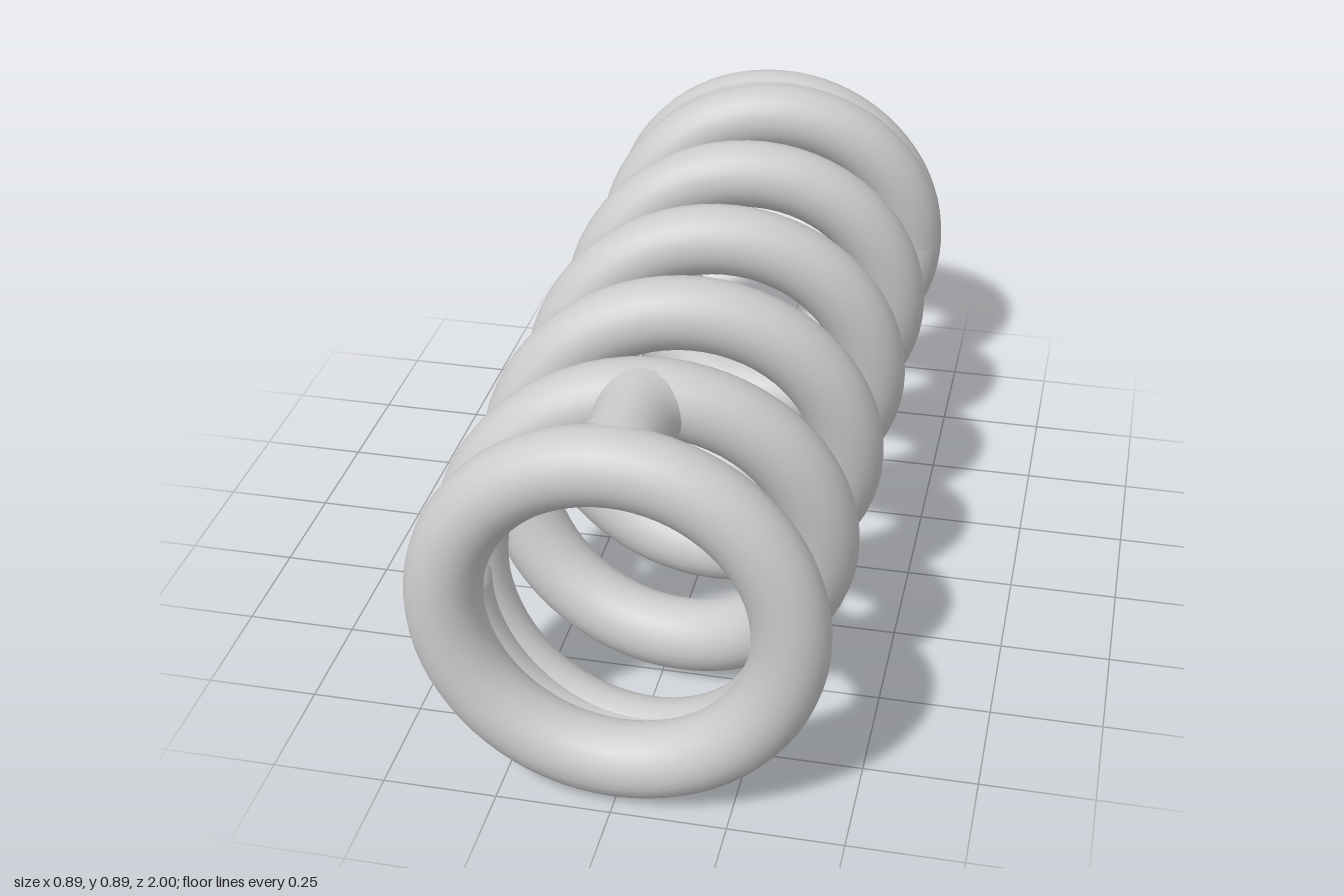
import * as THREE from 'three';

const R = 0.365;          // coil radius
const WIRE = 0.0825;      // wire radius
const END_Z = 0.9175;     // centre of the end rings
const TURNS = 5;
const PITCH = (2 * END_Z) / TURNS;
const coilZ = (t) => (-PITCH * t) / (2 * Math.PI);

// Sweep a round section about the z axis, from angle t0 to t1
function sweep(t0, t1, steps, sides, zAt, radiusAt) {
  const pos = [], index = [];
  for (let i = 0; i <= steps; i++) {
    const t = t0 + ((t1 - t0) * i) / steps;
    const r = radiusAt(t);
    for (let j = 0; j < sides; j++) {
      const b = (2 * Math.PI * j) / sides;
      const d = R + r * Math.cos(b);
      pos.push(-d * Math.cos(t), d * Math.sin(t), zAt(t) + r * Math.sin(b));
      if (i === steps) continue;
      const k = (j + 1) % sides;
      const p = i * sides + j, q = i * sides + k;
      index.push(p, q, p + sides, q, q + sides, p + sides);
    }
  }
  const g = new THREE.BufferGeometry();
  g.setAttribute('position', new THREE.Float32BufferAttribute(pos, 3));
  g.setIndex(index);
  g.computeVertexNormals();
  return g;
}

// Short strut from the end ring to the next coil, flared sideways at both ends
function bridgeGeometry() {
  const zCoil = coilZ(-3.5 * Math.PI);
  const length = END_Z - zCoil;
  const g = new THREE.CylinderGeometry(0.08, 0.08, length, 24, 16, true);
  g.rotateX(Math.PI / 2);
  const p = g.attributes.position;
  for (let i = 0; i < p.count; i++) {
    const u = Math.abs(p.getZ(i)) / (length / 2);
    const x = p.getX(i) * (1.06 + 0.9 * u ** 3);
    p.setXYZ(i, x, p.getY(i) + R - (x * x) / (2 * R), p.getZ(i) + (END_Z + zCoil) / 2);
  }
  g.computeVertexNormals();
  return g;
}

export function createModel() {
  const material = new THREE.MeshStandardMaterial({ color: 0xcccccc, side: THREE.DoubleSide });
  const model = new THREE.Group();
  model.name = 'spring';
  const add = (parent, name, geometry) => {
    const mesh = new THREE.Mesh(geometry, material);
    mesh.name = name;
    parent.add(mesh);
    return mesh;
  };

  // Helical wire
  const half = TURNS * Math.PI;
  add(model, 'coil', sweep(-half, half, 320, 24, coilZ, () => WIRE));

  // Front end: closed ring, strut and the web filling the narrowing gap
  const front = new THREE.Group();
  front.name = 'frontEnd';
  add(front, 'endRing', new THREE.TorusGeometry(R, WIRE, 24, 72)).position.z = END_Z;
  add(front, 'bridge', bridgeGeometry());
  const webEnd = -4 * Math.PI + 0.15;
  add(front, 'web', sweep(-half, webEnd, 60, 20,
    (t) => (coilZ(t) + END_Z) / 2,
    (t) => 0.073 * Math.min(1, Math.sqrt(Math.max(0, webEnd - t) / 0.15))));
  model.add(front);

  // Back end is the front end turned half way round the x axis
  const back = front.clone();
  back.name = 'backEnd';
  back.rotation.x = Math.PI;
  model.add(back);

  model.position.y = R + WIRE;
  const root = new THREE.Group();
  root.name = 'coilSpring';
  root.add(model);
  return root;
}
